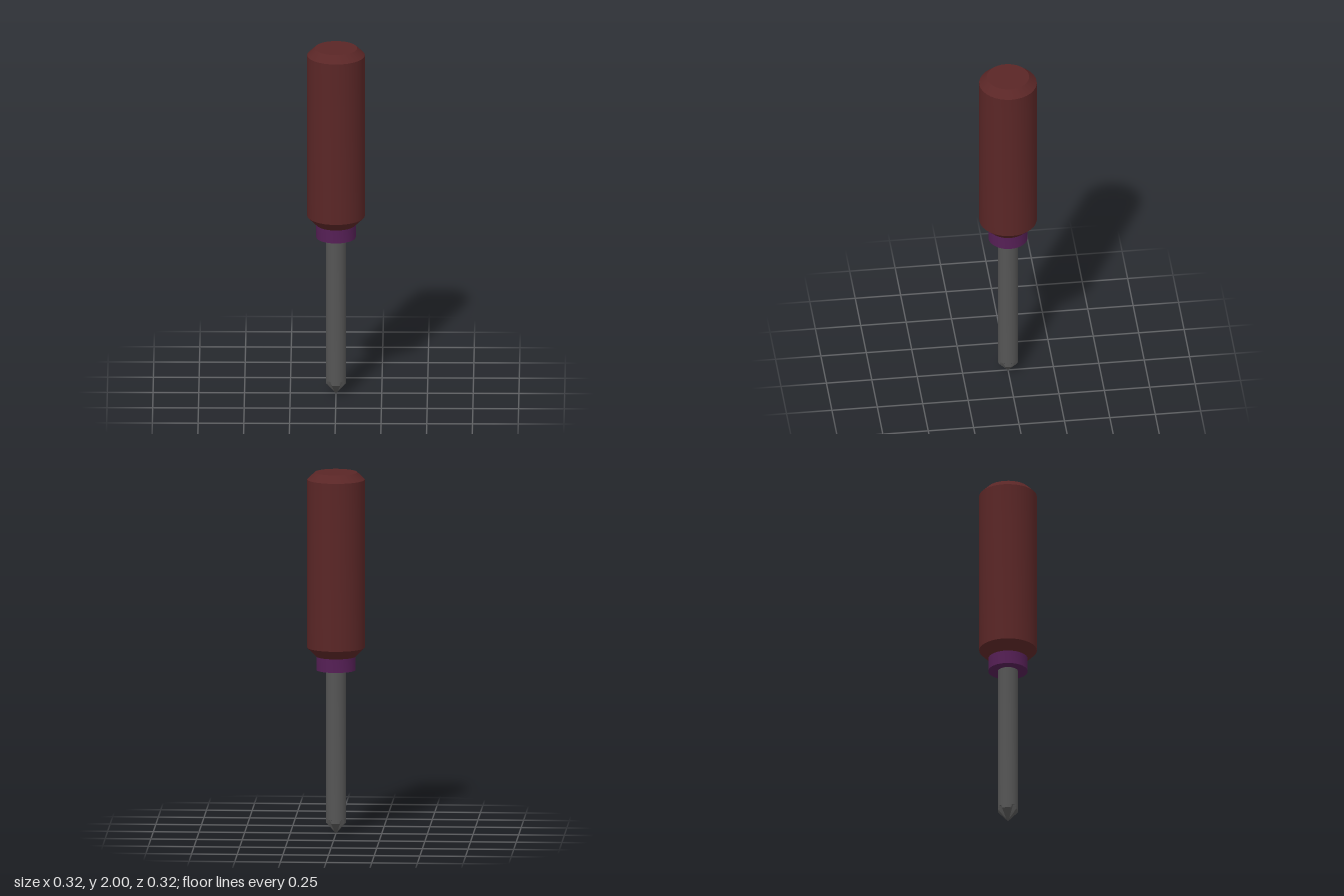
import * as THREE from 'three';
import { toCreasedNormals } from 'three/addons/utils/BufferGeometryUtils.js';

// Turned solid from [radius, height] pairs, listed bottom to top
function turned(profile, sides) {
  return new THREE.LatheGeometry(profile.map(([r, y]) => new THREE.Vector2(r, y)), sides);
}

function part(name, geometry, color) {
  const material = new THREE.MeshStandardMaterial({ color });
  const mesh = new THREE.Mesh(toCreasedNormals(geometry, 0.5), material);
  mesh.name = name;
  return mesh;
}

// Pointed tip with four diagonal grooves that leave a cross of tapering fins
function crossTip(radius, coneTop, grooveTop) {
  const profile = [[0, 0]];
  const steps = 12;
  for (let i = 1; i <= steps; i++) {
    const y = (grooveTop * i) / steps;
    profile.push([radius * Math.min(1, y / coneTop), y]);
  }
  profile.push([radius, grooveTop]); // shelf that closes the grooves
  const geometry = turned(profile, 64);
  const pos = geometry.attributes.position;
  for (let i = 0; i < pos.count; i++) {
    const x = pos.getX(i), y = pos.getY(i), z = pos.getZ(i);
    const isShelf = i % profile.length === profile.length - 1;
    const halfFin = 0.004 + 0.028 * (y / grooveTop);
    const inner = Math.min(Math.abs(x), Math.abs(z));
    if (!isShelf && inner > halfFin) {
      const s = halfFin / inner;
      pos.setXYZ(i, x * s, y, z * s);
    }
  }
  return geometry;
}

export function createModel() {
  const model = new THREE.Group();
  model.name = 'screwdriver';
  const steel = 0x555555;

  // Chamfered handle
  model.add(part('handle', turned([
    [0, 0.98], [0.108, 0.98], [0.158, 1.03], [0.158, 1.96], [0.116, 2], [0, 2],
  ], 32), 0x5a2626));

  // Collar under the handle
  model.add(part('collar', turned([
    [0, 0.905], [0.108, 0.905], [0.108, 0.985], [0, 0.985],
  ], 32), 0x551f55));

  // Shaft and cross-shaped tip
  model.add(part('shaft', turned([[0.055, 0.08], [0.055, 0.92]], 32), steel));
  model.add(part('tip', crossTip(0.055, 0.06, 0.08), steel));

  return model;
}
